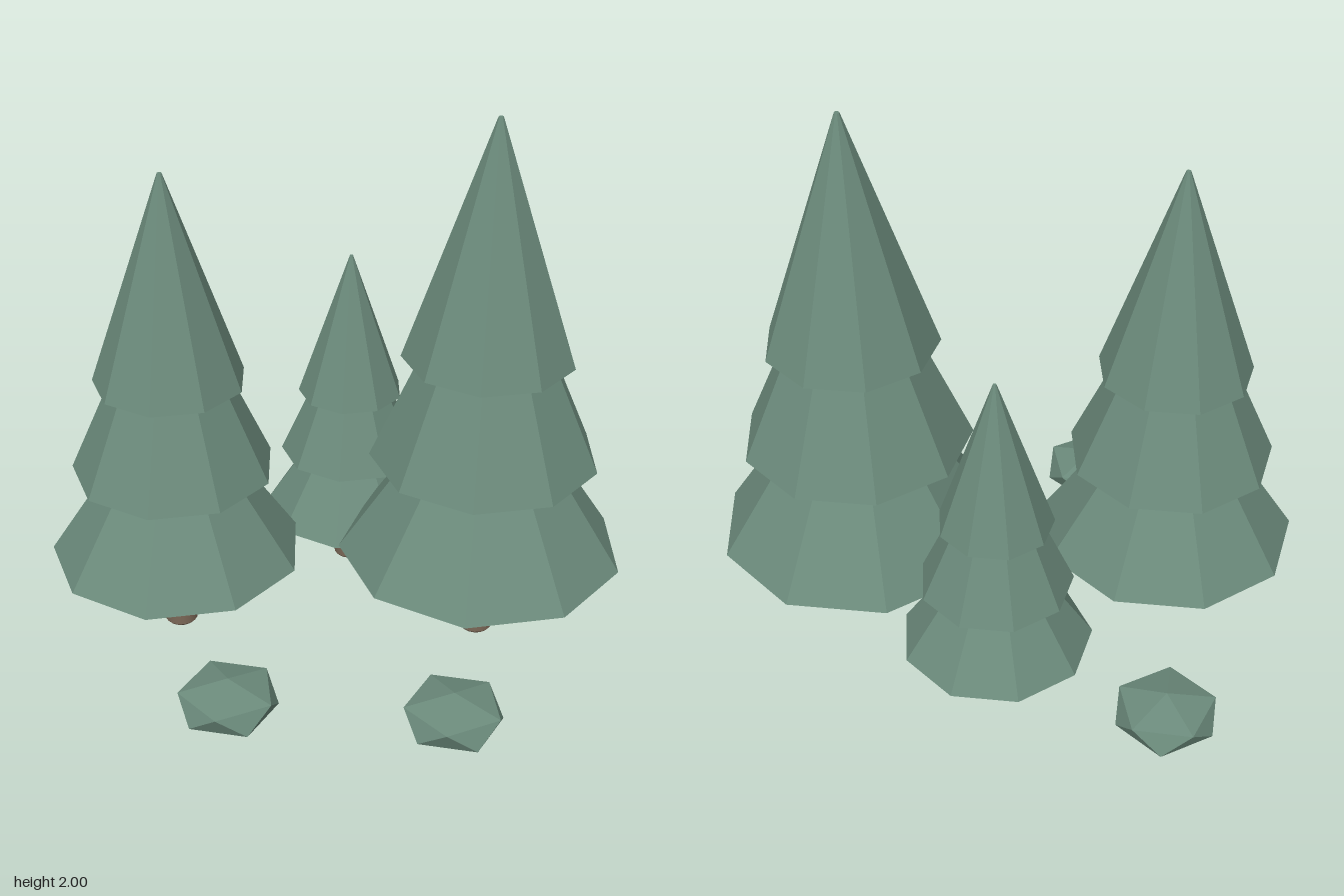
import * as THREE from 'three';
import { toCreasedNormals } from 'three/addons/utils/BufferGeometryUtils.js';
import { ConvexGeometry } from 'three/addons/geometries/ConvexGeometry.js';

const foliage = new THREE.MeshStandardMaterial({ name: 'foliage green', color: 0x6b8a7b, flatShading: true });
const bark = new THREE.MeshStandardMaterial({ name: 'bark brown', color: 0x7a6756 });

// Foliage tiers of a unit-scale tree: [bottom y, top y, bottom radius, top radius]
const TIERS = [
  [0.32, 0.67, 0.46, 0.23],
  [0.67, 1.02, 0.365, 0.21],
  [1.02, 1.79, 0.272, 0.008],
];

function part(name, geometry, material) {
  const mesh = new THREE.Mesh(geometry, material);
  mesh.name = name;
  return mesh;
}

// Nine-sided conifer: scaled tiers on a trunk of constant thickness
function createTree(name, x, z, scale) {
  const tree = new THREE.Group();
  tree.name = name;
  tree.position.set(x, 0, z);

  TIERS.forEach(([y0, y1, r0, r1], i) => {
    const cone = new THREE.CylinderGeometry(r1 * scale, r0 * scale, (y1 - y0) * scale, 9);
    cone.rotateY(Math.PI);
    cone.translate(0, ((y0 + y1) / 2) * scale, 0);
    tree.add(part(`foliageTier${i + 1}`, cone, foliage));
  });

  // Trunk with a slightly chamfered foot
  const top = TIERS[0][0] * scale + 0.04;
  const profile = [[0, 0], [0.053, 0], [0.06, 0.008], [0.06, top], [0, top]]
    .map(([r, y]) => new THREE.Vector2(r, y));
  const trunk = toCreasedNormals(new THREE.LatheGeometry(profile, 16), Math.PI / 6);
  tree.add(part('trunk', trunk, bark));
  return tree;
}

// Squashed twelve-point bush: two staggered rings of five and two poles
function createBush(name, x, z) {
  const radius = 0.173, half = 0.085, ringY = half * 0.447;
  const points = [new THREE.Vector3(0, half, 0), new THREE.Vector3(0, -half, 0)];
  for (let i = 0; i < 10; i++) {
    const a = (i * Math.PI) / 5;
    points.push(new THREE.Vector3(Math.cos(a) * radius, i % 2 ? -ringY : ringY, Math.sin(a) * radius));
  }
  const bush = part(name, new ConvexGeometry(points), foliage);
  bush.position.set(x, 0.115, z);
  return bush;
}

export function createModel() {
  const model = new THREE.Group();
  model.name = 'pineGrove';
  model.add(
    createTree('tallTree', 0.47, -0.29, 1.117),
    createTree('mediumTree', -0.513, 0.22, 1),
    createTree('smallTree', -0.18, -0.485, 0.724),
    createBush('backBush', -0.807, -0.45),
    createBush('frontBush', -0.02, 0.655),
    createBush('sideBush', 0.685, 0.34),
  );
  return model;
}
